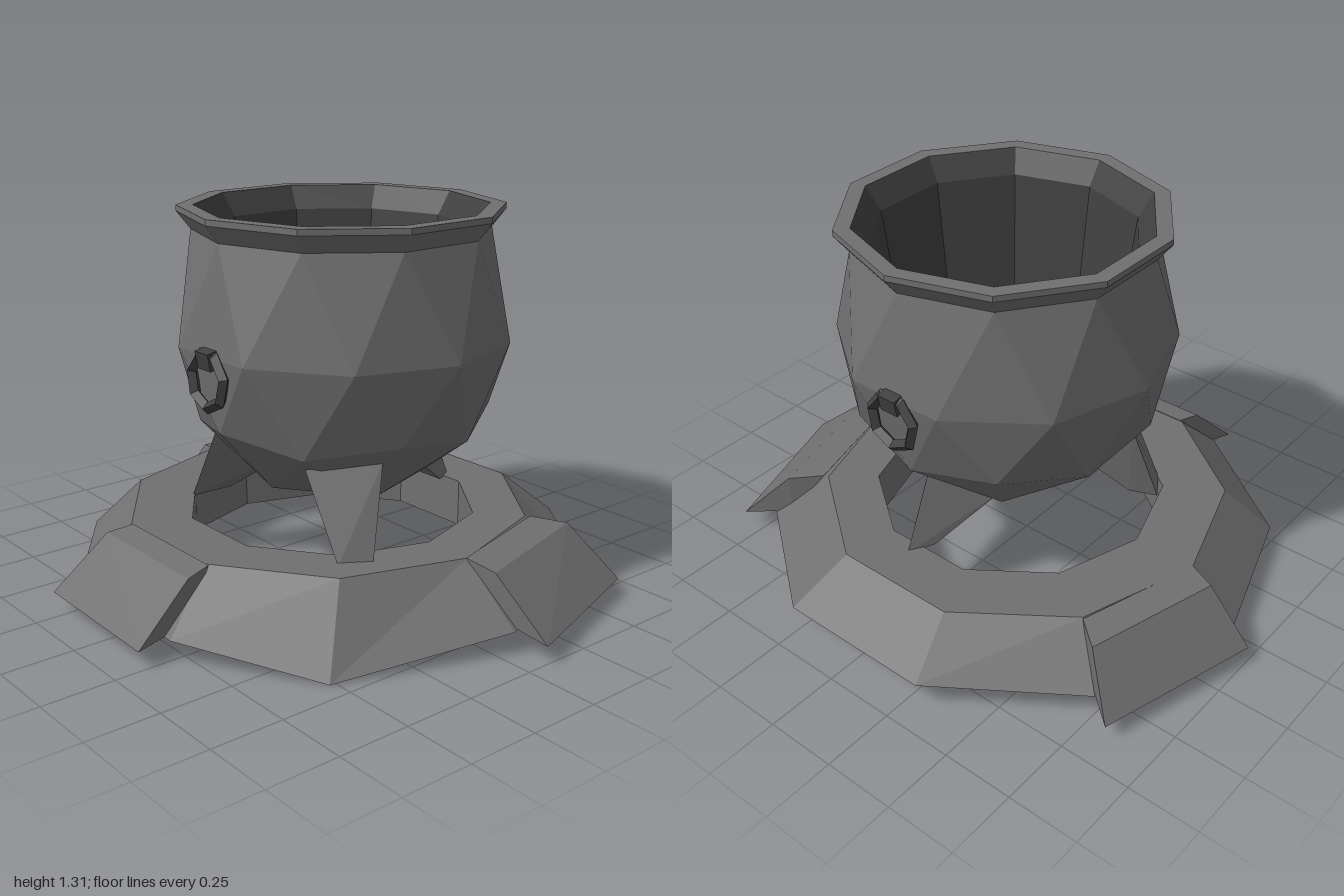
import * as THREE from 'three';
import { ConvexGeometry } from 'three/addons/geometries/ConvexGeometry.js';

const CX = 0.063, CZ = 0.033; // axis of the pot
const iron = new THREE.MeshStandardMaterial({ color: 0x707070 });
iron.name = 'iron grey';
const darkIron = new THREE.MeshStandardMaterial({ color: 0x404040 });
darkIron.name = 'dark iron';

const V = (x, y, z) => new THREE.Vector3(x, y, z);

// Points around a vertical axis; r and y may depend on the index
function ring(n, phaseDeg, r, y, cx = 0, cz = 0) {
  const val = (f, i) => (typeof f === 'function' ? f(i) : f);
  return Array.from({ length: n }, (_, i) => {
    const a = THREE.MathUtils.degToRad(phaseDeg + (360 / n) * i);
    return V(cx + val(r, i) * Math.cos(a), val(y, i), cz + val(r, i) * Math.sin(a));
  });
}

// Triangles joining two rings, with the top ring half a step ahead or level
function band(tris, low, high) {
  low.forEach((b, i) => {
    const j = (i + 1) % low.length;
    tris.push(b, high[i], low[j], low[j], high[i], high[j]);
  });
}

function flat(geometry) {
  const g = geometry.index ? geometry.toNonIndexed() : geometry;
  g.computeVertexNormals();
  return g;
}

function add(parent, name, geometry, material = iron) {
  const mesh = new THREE.Mesh(flat(geometry), material);
  mesh.name = name;
  parent.add(mesh);
  return mesh;
}

const facets = (tris) => new THREE.BufferGeometry().setFromPoints(tris);

// Ten-sided turned shape lined up with the belly
const turned = (pairs) =>
  new THREE.LatheGeometry(pairs.map(([r, y]) => new THREE.Vector2(r, y)), 10, Math.PI / 2);

// Faceted round belly, like the lower part of a subdivided icosahedron
function bellyGeometry() {
  const tris = [];
  const top = ring(10, 36, 0.505, 1.23);
  const middle = ring(10, 18, 0.575, 0.87);
  const lower = ring(10, 0, (i) => (i % 2 ? 0.514 : 0.489), (i) => (i % 2 ? 0.61 : 0.565));
  const base = ring(5, 36, 0.302, 0.375);
  const tip = V(0, 0.292, 0);
  band(tris, middle, top);
  band(tris, lower, middle);
  base.forEach((p, k) => {
    const a = lower[2 * k], b = lower[2 * k + 1], c = lower[(2 * k + 2) % 10];
    const next = base[(k + 1) % 5];
    tris.push(p, a, b, p, b, c, p, c, next, tip, p, next);
  });
  return facets(tris);
}

// Sloped ten-sided ground ring with one sagging corner
function groundRingGeometry() {
  const tris = [];
  const loops = [
    ring(10, 18, 0.51, 0.08, 0.055, -0.015),
    ring(10, 18, 0.905, (i) => (i % 9 ? 0.075 : 0.09), 0.05, -0.015),
    ring(10, 18, 0.71, 0.25, 0.055, -0.04),
    ring(10, 18, 0.51, 0.25, 0.055, -0.015),
  ];
  loops[1][3].set(-0.52, 0, 0.68);
  loops.forEach((loop, i) => band(tris, loop, loops[(i + 1) % 4]));
  return facets(tris);
}

export function createModel() {
  const model = new THREE.Group();
  model.name = 'cauldron';

  const pot = new THREE.Group();
  pot.name = 'pot';
  pot.position.set(CX, 0, CZ);
  model.add(pot);
  add(pot, 'belly', bellyGeometry());

  // Lip, then the dark hollow inside
  add(pot, 'rim', turned([[0.505, 1.23], [0.552, 1.29], [0.552, 1.31], [0.497, 1.31]]));
  add(pot, 'inside', turned([[0.497, 1.31], [0.445, 1.23], [0.35, 0.5], [0, 0.5]]), darkIron);

  // Three tapered three-sided legs: foot corners, then buried top corners
  add(pot, 'leg', new ConvexGeometry([
    V(0.525, 0.24, 0), V(0.44, 0.25, 0.048), V(0.44, 0.25, -0.048),
    V(0.405, 0.52, 0), V(0.22, 0.40, 0.16), V(0.22, 0.40, -0.16),
  ]));
  for (const s of [1, -1]) {
    add(pot, s > 0 ? 'frontLeg' : 'backLeg', new ConvexGeometry([
      V(-0.355, 0.24, s * 0.41), V(-0.26, 0.24, s * 0.47), V(-0.21, 0.25, s * 0.38),
      V(-0.36, 0.52, s * 0.25), V(-0.17, 0.55, s * 0.41), V(-0.1, 0.42, s * 0.15),
    ]));
  }

  // Ring handles hanging from brackets on both sides
  for (const s of [1, -1]) {
    const handle = new THREE.Group();
    handle.name = s > 0 ? 'leftHandle' : 'rightHandle';
    handle.position.set(s * 0.555, 0.795, 0);
    pot.add(handle);
    const hoop = add(handle, 'hoop', new THREE.TorusGeometry(0.09, 0.021, 4, 7), darkIron);
    hoop.geometry.rotateZ(-Math.PI / 2).rotateY(Math.PI / 2);
    hoop.rotation.z = s * 0.04;
    const bracket = add(handle, 'bracket', new THREE.BoxGeometry(0.055, 0.06, 0.07), darkIron);
    bracket.position.set(-s * 0.008, 0.072, 0);
    bracket.rotation.z = -s * 0.2;
  }

  add(model, 'groundRing', groundRingGeometry());

  // Raised slabs over three ring segments: inner, crease and outer edges (x, z pairs)
  const slabs = {
    backSlab: [[0.05, -0.75, 0.48, -0.62], [0.08, -0.84, 0.55, -0.71], [0.08, -1, 0.65, -0.84]],
    frontSlab: [[0.05, 0.67, 0.48, 0.55], [0.06, 0.79, 0.56, 0.65], [0.08, 1, 0.65, 0.81]],
    sideSlab: [[-0.62, -0.25, -0.62, 0.2], [-0.71, -0.27, -0.71, 0.22], [-0.9, -0.31, -0.91, 0.24]],
  };
  for (const [name, edges] of Object.entries(slabs)) {
    const heights = [0.252, 0.238, 0.06];
    const points = edges.flatMap(([x0, z0, x1, z1], i) => [V(x0, heights[i], z0), V(x1, heights[i], z1)]);
    const [x0, z0, x1, z1] = edges[1];
    points.push(V(x0, 0.09, z0), V(x1, 0.09, z1));
    add(model, name, new ConvexGeometry(points));
  }
  return model;
}
